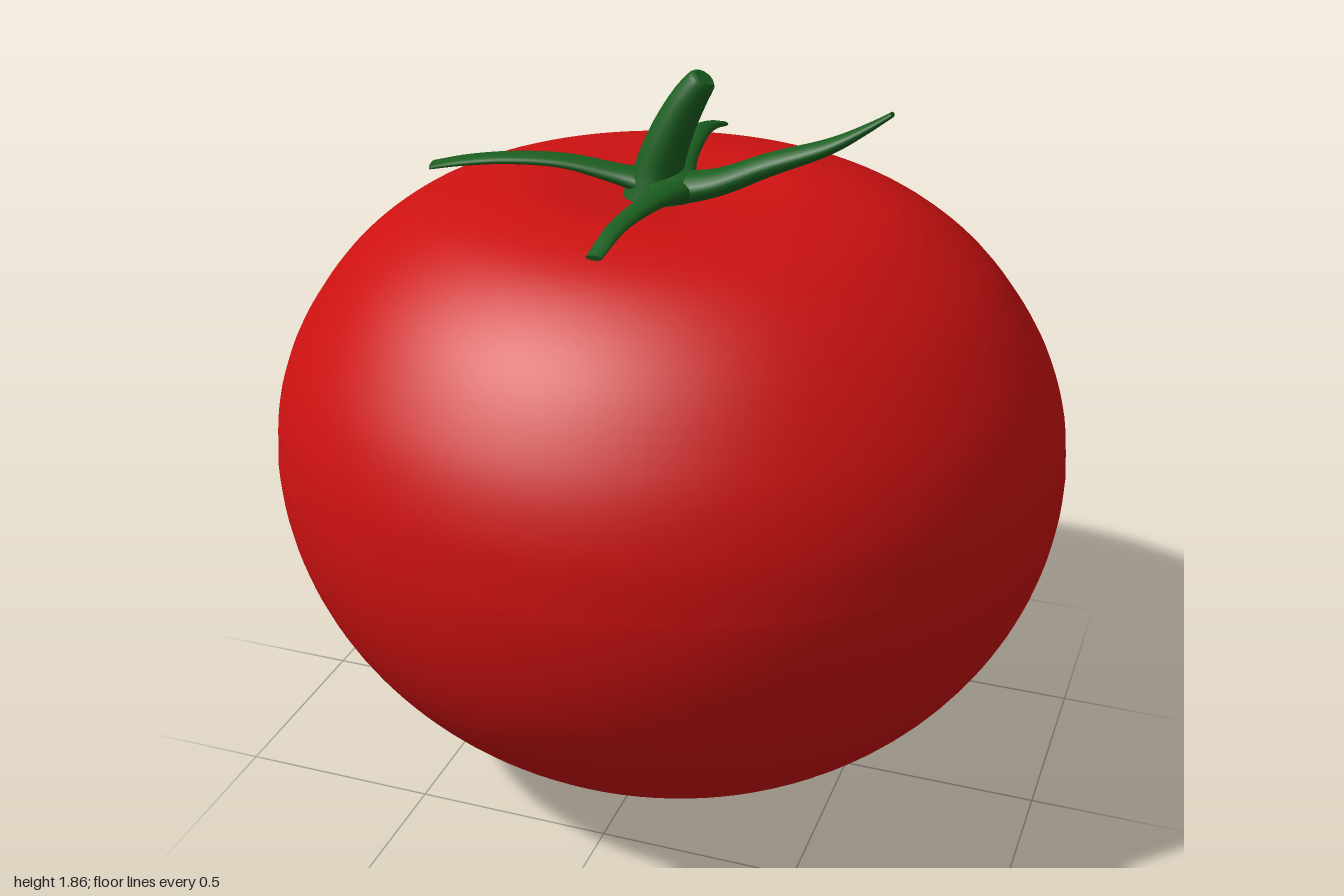
import * as THREE from 'three';

const red = new THREE.MeshStandardMaterial({ color: 0xcc1111 });
const green = new THREE.MeshStandardMaterial({ color: 0x1b5e20 });

// Sweeps an elliptical section along a path; each station is [x, y, z, halfWidth, halfThickness].
function sweep(name, stations, steps = 28, sides = 16) {
  const path = new THREE.CatmullRomCurve3(stations.map(s => new THREE.Vector3(s[0], s[1], s[2])));
  const size = new THREE.CatmullRomCurve3(stations.map(s => new THREE.Vector3(s[3], s[4], 0)));
  const run = path.getPoint(1).sub(path.getPoint(0)).setY(0);
  const side = new THREE.Vector3(0, 1, 0).cross(run).normalize();

  // Repeated end rings keep the cap edges crisp; zero-size rings close them.
  const rings = [[0, 0], [0, 1]];
  for (let i = 0; i <= steps; i++) rings.push([i / steps, 1]);
  rings.push([1, 1], [1, 0]);

  const positions = [], index = [];
  rings.forEach(([t, scale], i) => {
    const centre = path.getPoint(t), s = size.getPoint(t);
    const normal = path.getTangent(t).cross(side).normalize();
    for (let j = 0; j < sides; j++) {
      const a = (j / sides) * Math.PI * 2;
      const p = centre.clone()
        .addScaledVector(side, Math.cos(a) * s.x * scale)
        .addScaledVector(normal, Math.sin(a) * s.y * scale);
      positions.push(p.x, p.y, p.z);
      if (i === 0) continue;
      const k = (j + 1) % sides, lo = (i - 1) * sides, hi = i * sides;
      index.push(lo + j, lo + k, hi + j, lo + k, hi + k, hi + j);
    }
  });
  const geometry = new THREE.BufferGeometry();
  geometry.setAttribute('position', new THREE.Float32BufferAttribute(positions, 3));
  geometry.setIndex(index);
  geometry.computeVertexNormals();
  const mesh = new THREE.Mesh(geometry, green);
  mesh.name = name;
  return mesh;
}

export function createModel() {
  const model = new THREE.Group();
  model.name = 'tomato';

  // Fruit: elliptical underside, fuller shoulders and a shallow dimple on top
  const profile = [];
  for (let i = 0; i < 32; i++) {
    const a = (i / 32) * Math.PI / 2;
    profile.push(new THREE.Vector2(Math.sin(a), 0.89 * (1 - Math.cos(a))));
  }
  const shoulder = new THREE.SplineCurve([
    [1, 0.89], [0.98, 1.05], [0.91, 1.22], [0.77, 1.4], [0.58, 1.525],
    [0.36, 1.575], [0.2, 1.56], [0.08, 1.54], [0, 1.535],
  ].map(p => new THREE.Vector2(...p)));
  profile.push(...shoulder.getPoints(48));
  profile[profile.length - 1].x = 0;
  const fruit = new THREE.Mesh(new THREE.LatheGeometry(profile, 96), red);
  fruit.name = 'fruit';
  fruit.scale.z = 0.933;
  model.add(fruit);

  // Calyx: hub, stalk and four curling sepals
  const calyx = new THREE.Group();
  calyx.name = 'calyx';
  const hub = new THREE.Mesh(new THREE.SphereGeometry(1, 24, 16), green);
  hub.name = 'hub';
  hub.scale.set(0.09, 0.045, 0.08);
  hub.position.set(0, 1.57, 0);
  calyx.add(hub);

  calyx.add(sweep('stalk', [
    [-0.03, 1.54, 0, 0.085, 0.085],
    [-0.025, 1.61, 0, 0.068, 0.06],
    [0.005, 1.7, 0, 0.058, 0.052],
    [0.05, 1.79, 0, 0.047, 0.043],
    [0.082, 1.838, 0, 0.037, 0.034],
    [0.087, 1.845, 0, 0.028, 0.026],
  ]));
  calyx.add(sweep('rightSepal', [
    [0, 1.565, 0, 0.07, 0.035],
    [-0.12, 1.59, 0.02, 0.044, 0.022],
    [-0.25, 1.615, 0.04, 0.04, 0.014],
    [-0.38, 1.617, 0.065, 0.036, 0.012],
    [-0.5, 1.603, 0.085, 0.033, 0.01],
    [-0.58, 1.587, 0.1, 0.03, 0.007],
  ]));
  calyx.add(sweep('leftSepal', [
    [0, 1.56, 0, 0.07, 0.04],
    [0.12, 1.59, 0, 0.055, 0.032],
    [0.25, 1.65, 0, 0.046, 0.027],
    [0.4, 1.713, 0, 0.034, 0.018],
    [0.49, 1.768, 0, 0.023, 0.01],
    [0.54, 1.803, 0, 0.014, 0.006],
  ]));
  calyx.add(sweep('backSepal', [
    [0, 1.565, 0, 0.07, 0.035],
    [-0.015, 1.59, -0.12, 0.043, 0.022],
    [-0.03, 1.605, -0.28, 0.034, 0.017],
    [-0.05, 1.573, -0.46, 0.024, 0.012],
    [-0.065, 1.53, -0.61, 0.017, 0.007],
  ]));
  calyx.add(sweep('frontSepal', [
    [0, 1.565, 0, 0.07, 0.035],
    [0.03, 1.585, 0.1, 0.046, 0.022],
    [0.045, 1.61, 0.2, 0.036, 0.018],
    [0.048, 1.632, 0.36, 0.028, 0.015],
    [0.038, 1.627, 0.47, 0.023, 0.011],
    [0.03, 1.6, 0.575, 0.019, 0.007],
  ]));
  model.add(calyx);
  return model;
}
